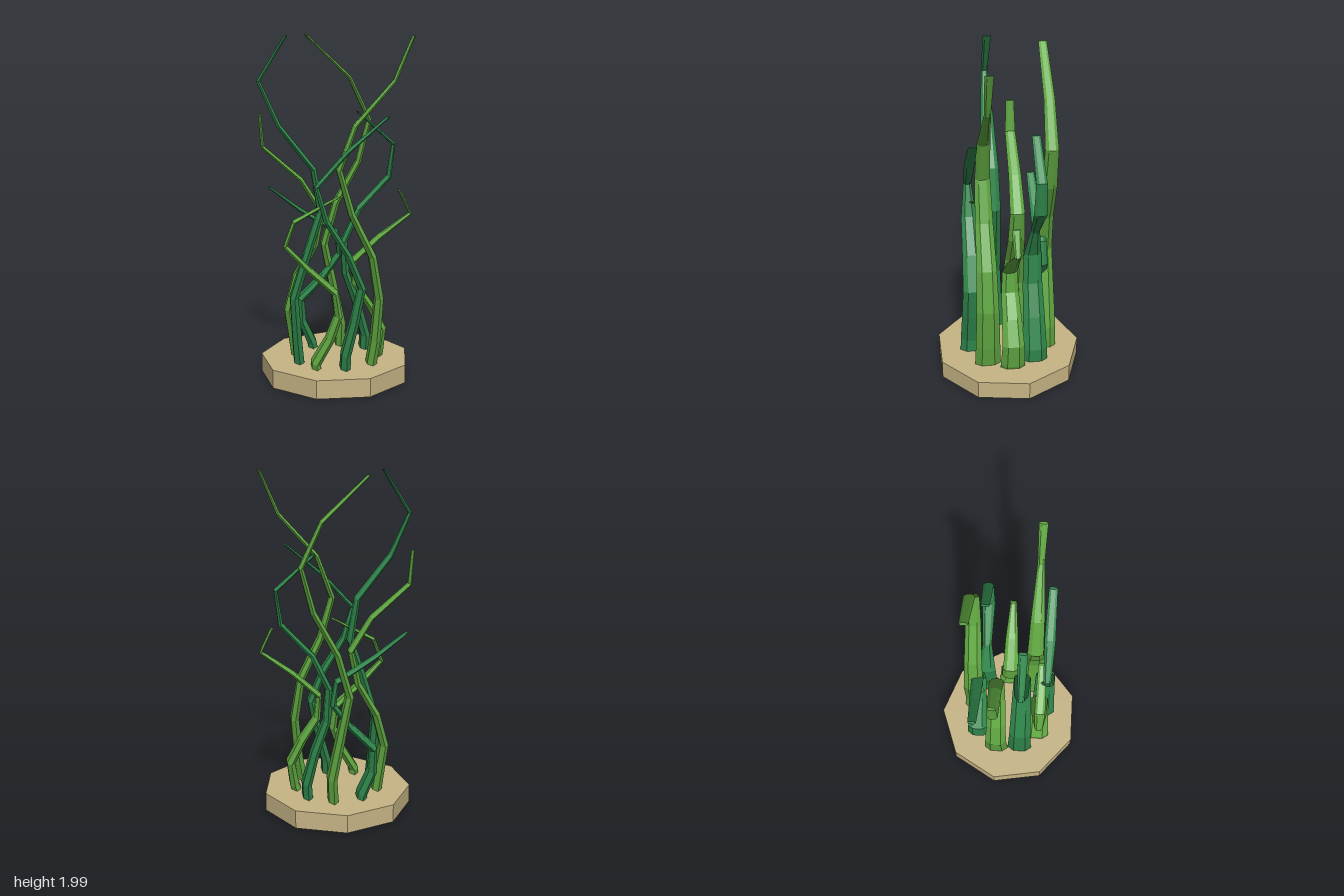
import * as THREE from 'three';

const lightGreen = new THREE.MeshStandardMaterial({ color: 0x5fa641 });
lightGreen.name = 'light leaf green';
const darkGreen = new THREE.MeshStandardMaterial({ color: 0x2f854b });
darkGreen.name = 'deep sea green';
const sand = new THREE.MeshStandardMaterial({ color: 0xc6b485 });
sand.name = 'sand';

const SIDES = 6;

// Flat tapered blade: rings swept along a path that sways in x at a constant z
function bladeGeometry(height, z, xs, pinch) {
  const last = xs.length - 1;
  const y0 = 0.008;
  const path = xs.map((x, i) => new THREE.Vector2(x, y0 + (height - y0) * i / last));
  const positions = [], index = [];
  path.forEach((p, i) => {
    const a = path[Math.max(i - 1, 0)], b = path[Math.min(i + 1, last)];
    const t = b.clone().sub(a).normalize();
    const s = i / last;
    const width = THREE.MathUtils.lerp(0.08, 0.024, s) * (i === pinch ? 0.6 : 1);
    const thick = THREE.MathUtils.lerp(0.034, 0.009, s);
    for (let k = 0; k < SIDES; k++) {
      // points of the hexagon lie on the two z edges
      const angle = (k + 0.5) / SIDES * Math.PI * 2;
      const n = Math.cos(angle) * thick;
      // end rings are cut level
      const level = i === 0 || i === last;
      positions.push(p.x + (level ? n : t.y * n), p.y - (level ? 0 : t.x * n), z + Math.sin(angle) * width);
    }
  });
  for (let i = 0; i < last; i++) {
    for (let k = 0; k < SIDES; k++) {
      const a = i * SIDES + k, b = i * SIDES + (k + 1) % SIDES;
      index.push(a, a + SIDES, b, b, a + SIDES, b + SIDES);
    }
  }
  const top = last * SIDES;
  for (let k = 1; k < SIDES - 1; k++) {
    index.push(0, k, k + 1, top, top + k + 1, top + k);
  }
  const indexed = new THREE.BufferGeometry();
  indexed.setAttribute('position', new THREE.Float32BufferAttribute(positions, 3));
  indexed.setIndex(index);
  const geometry = indexed.toNonIndexed();
  geometry.computeVertexNormals();
  return geometry;
}

// height, z, material, sway of the centre line in x, ring that narrows
const blades = [
  [2.0, 0.09, darkGreen, [-0.22, -0.24, -0.255, -0.18, -0.1, -0.14, -0.335, -0.445, -0.29], 7],
  [2.0, 0.155, lightGreen, [0.17, 0.21, 0.23, 0.19, 0.07, 0, 0.09, 0.31, 0.415], 7],
  [2.0, -0.205, lightGreen, [0.04, 0.05, 0, -0.05, 0.02, 0.155, 0.22, 0.105, -0.155], -1],
  [1.56, 0.23, darkGreen, [0.02, 0.03, 0.08, 0.12, 0.04, -0.08, -0.135, 0.04, 0.265], 6],
  [1.56, -0.06, lightGreen, [-0.22, -0.25, -0.28, -0.23, -0.12, -0.08, -0.2, -0.42, -0.435], -1],
  [1.56, -0.13, darkGreen, [0.18, 0.19, 0.14, 0.07, 0.06, 0.15, 0.33, 0.355, 0.14], 5],
  [1.11, 0.01, lightGreen, [0.2, 0.25, 0.27, 0.2, 0.11, 0.1, 0.25, 0.435, 0.37], 7],
  [1.11, 0.2, lightGreen, [-0.13, -0.14, -0.06, -0.01, -0.03, -0.18, -0.31, -0.26, -0.01], 6],
  [1.11, -0.18, darkGreen, [-0.11, -0.13, -0.19, -0.195, -0.06, 0.04, 0.02, -0.2, -0.38], -1],
];

export function createModel() {
  const model = new THREE.Group();
  model.name = 'seaweed';

  // Nine-sided sand base
  const baseGeometry = new THREE.CylinderGeometry(0.442, 0.442, 0.108, 9, 1, false, Math.PI).toNonIndexed();
  baseGeometry.computeVertexNormals();
  const base = new THREE.Mesh(baseGeometry, sand);
  base.name = 'sandBase';
  base.position.set(-0.007, 0.066, 0.012);
  model.add(base);

  // Ring of swaying blades
  blades.forEach(([height, z, material, xs, pinch], i) => {
    const blade = new THREE.Mesh(bladeGeometry(height, z, xs, pinch), material);
    blade.name = `blade${i + 1}`;
    model.add(blade);
  });

  return model;
}
